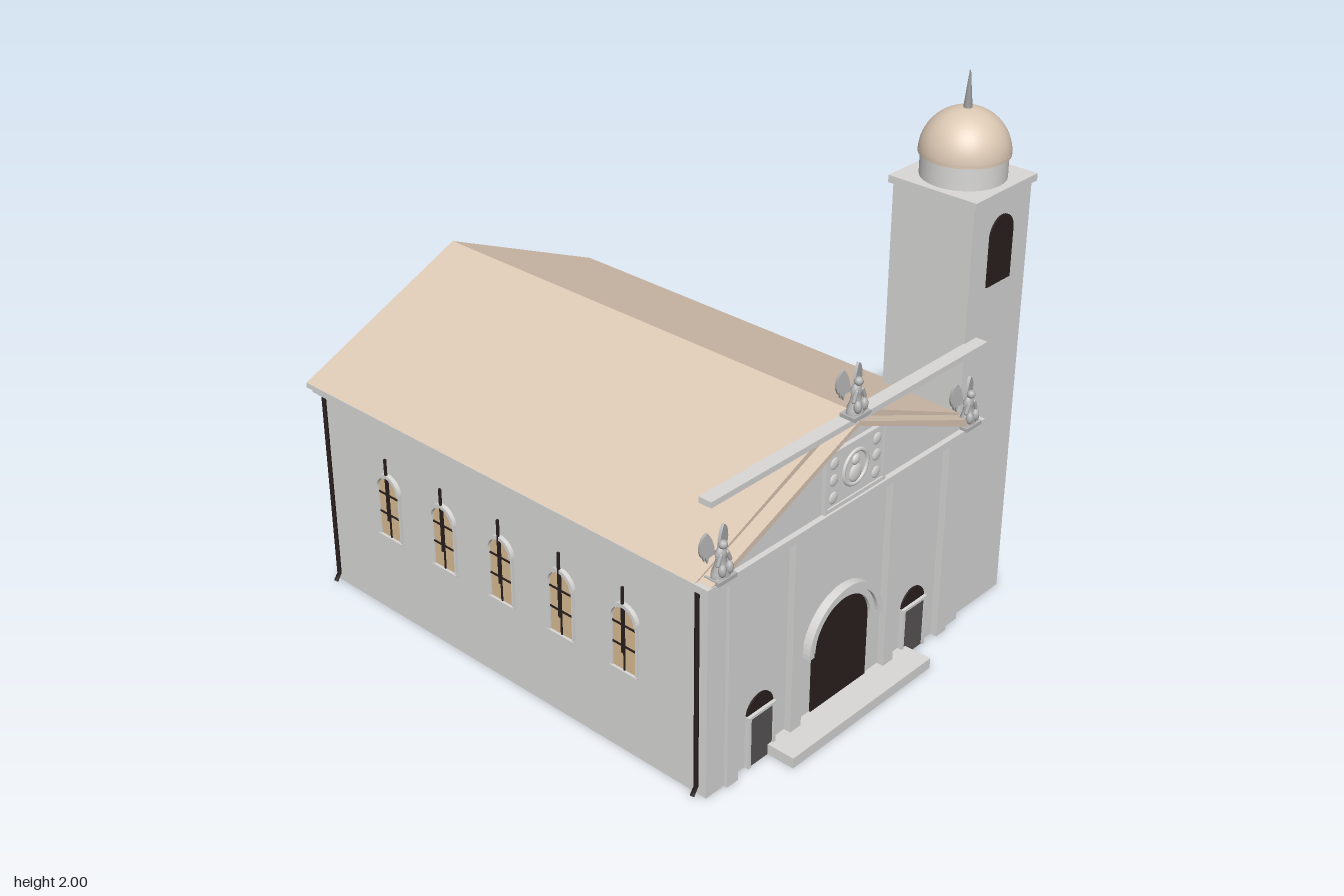
import * as THREE from 'three';

const mat = (name, color) => Object.assign(new THREE.MeshStandardMaterial({ color }), { name });
const M = {
  wall: mat('plaster', 0xd9d8d7),
  roof: mat('sandRoof', 0xdcc8b4),
  dark: mat('darkOpening', 0x2a1f1f),
  gate: mat('gateGrey', 0x555353),
  glass: mat('amberGlass', 0xd8bc92),
  stone: mat('statueStone', 0xb4b4b4),
  metal: mat('spireMetal', 0x9a9a9a),
};
const CX = -0.13; // centre line of the nave

function add(parent, name, geo, material, x = 0, y = 0, z = 0) {
  const m = new THREE.Mesh(geo, material);
  m.name = name;
  m.position.set(x, y, z);
  parent.add(m);
  return m;
}
// Box given by its extents
function block(parent, name, material, x0, x1, y0, y1, z0, z1) {
  return add(parent, name, new THREE.BoxGeometry(x1 - x0, y1 - y0, z1 - z0), material,
    (x0 + x1) / 2, (y0 + y1) / 2, (z0 + z1) / 2);
}
const extrude = (shape, depth) =>
  new THREE.ExtrudeGeometry(shape, { depth, bevelEnabled: false, curveSegments: 16 });
const poly = pts => new THREE.Shape(pts.map(p => new THREE.Vector2(...p)));

// Round-headed opening standing on y = 0
function archShape(w, h) {
  const r = w / 2, s = new THREE.Shape();
  s.moveTo(-r, 0);
  s.lineTo(r, 0);
  s.lineTo(r, h - r);
  s.absarc(0, h - r, r, 0, Math.PI, false);
  s.closePath();
  return s;
}
// Half ring opening downwards
function halfRing(r0, r1) {
  const s = new THREE.Shape();
  s.absarc(0, 0, r1, 0, Math.PI, false);
  s.absarc(0, 0, r0, Math.PI, 0, true);
  s.closePath();
  return s;
}

// Side window facing +z, origin on the wall plane at ground level
function sideWindow() {
  const g = new THREE.Group();
  g.name = 'sideWindow';
  add(g, 'glass', extrude(archShape(0.108, 0.24), 0.004), M.glass, 0, 0.325, 0);
  add(g, 'hood', extrude(halfRing(0.05, 0.064), 0.016), M.wall, 0, 0.522, 0);
  for (const s of [-1, 1]) block(g, 'jamb', M.wall, s * 0.055 - 0.004, s * 0.055 + 0.004, 0.325, 0.522, 0, 0.01);
  block(g, 'sill', M.wall, -0.06, 0.06, 0.318, 0.327, 0, 0.014);
  for (const y of [0.42, 0.5]) block(g, 'crossBar', M.dark, -0.052, 0.052, y - 0.003, y + 0.003, 0, 0.008);
  block(g, 'centreBar', M.dark, -0.003, 0.003, 0.327, 0.565, 0, 0.008);
  block(g, 'rod', M.dark, -0.004, 0.004, 0.4, 0.65, 0.008, 0.016);
  return g;
}

// Seated winged figure, about 0.165 tall
function wingedStatue(x, y, z) {
  const g = new THREE.Group();
  g.name = 'wingedStatue';
  g.position.set(x, y, z);
  block(g, 'plinth', M.stone, -0.042, 0.042, 0, 0.014, -0.03, 0.03);
  const robe = [[0.038, 0.012], [0.036, 0.03], [0.024, 0.055], [0.02, 0.075], [0.024, 0.095], [0.012, 0.11], [0, 0.113]];
  add(g, 'robe', new THREE.LatheGeometry(robe.map(p => new THREE.Vector2(...p)), 12), M.stone).scale.z = 0.7;
  add(g, 'head', new THREE.SphereGeometry(0.015, 12, 8), M.stone, 0, 0.124, 0.008);
  for (const s of [-1, 1]) {
    const knee = add(g, 'knee', new THREE.SphereGeometry(0.014, 10, 8), M.stone, s * 0.016, 0.042, 0.02);
    knee.scale.y = 1.6;
    const arm = add(g, 'arm', new THREE.CapsuleGeometry(0.007, 0.032, 4, 8), M.stone, s * 0.021, 0.078, 0.012);
    arm.rotation.z = s * 0.4;
    // Wing rises from the shoulder, arches over and hangs with ragged feathers
    const w = new THREE.Shape();
    w.moveTo(s * 0.008, 0.085);
    w.quadraticCurveTo(s * 0.012, 0.14, s * 0.036, 0.165);
    w.quadraticCurveTo(s * 0.064, 0.15, s * 0.063, 0.105);
    for (const [px, py] of [[0.056, 0.085], [0.054, 0.097], [0.046, 0.068], [0.043, 0.084], [0.034, 0.058], [0.03, 0.078]])
      w.lineTo(s * px, py);
    w.closePath();
    add(g, 'wing', extrude(w, 0.01), M.stone, 0, 0, -0.022).rotation.y = s * 0.25;
  }
  return g;
}

// Roof shell with a triangular section
function roofShell(half, base, peak, t) {
  return poly([[-half, base], [-half + 0.06, base], [0, peak - t], [half - 0.06, base], [half, base], [0, peak]]);
}

function buildNave() {
  const g = new THREE.Group();
  g.name = 'nave';
  block(g, 'walls', M.wall, -0.8, 0.54, 0, 0.8, -0.945, 0.87);
  block(g, 'lowerCornice', M.wall, -0.825, 0.563, 0.785, 0.803, -0.97, 0.905);
  block(g, 'upperCornice', M.wall, -0.837, 0.575, 0.803, 0.822, -0.985, 0.915);
  add(g, 'mainRoof', extrude(roofShell(0.705, 0.822, 1.132, 0.026), 1.845), M.roof, CX, 0, -0.985);
  add(g, 'rearGable', extrude(poly([[-0.66, 0.82], [0.66, 0.82], [0, 1.11]]), 0.03), M.wall, CX, 0, -0.95);

  // Windows along both sides
  for (const s of [-1, 1]) for (let i = 0; i < 5; i++) {
    const w = sideWindow();
    w.rotation.y = s * Math.PI / 2;
    w.position.set(s > 0 ? 0.54 : -0.8, 0, 0.535 - i * 0.2855);
    g.add(w);
  }
  // Rear door
  add(g, 'rearDoor', extrude(archShape(0.28, 0.43), 0.006), M.dark, CX, 0, -0.945).rotation.y = Math.PI;

  // Drain pipes with a kicked-out foot
  for (const [x, z, s] of [[-0.8, -0.925, -1], [-0.8, 0.85, -1], [0.54, -0.925, 1]]) {
    const path = new THREE.CurvePath();
    const p = [[0.012, 0.79], [0.012, 0.035], [0.03, 0.01]].map(q => new THREE.Vector3(x + s * q[0], q[1], z));
    path.add(new THREE.LineCurve3(p[0], p[1]));
    path.add(new THREE.LineCurve3(p[1], p[2]));
    add(g, 'drainPipe', new THREE.TubeGeometry(path, 24, 0.008, 8), M.dark);
  }
  return g;
}

function buildFacade() {
  const g = new THREE.Group();
  g.name = 'facade';
  g.position.x = CX;
  // Pediment and its covering
  add(g, 'pediment', extrude(poly([[-0.665, 0.82], [0.665, 0.82], [0, 1.095]]), 0.045), M.wall, 0, 0, 0.85);
  add(g, 'pedimentRoof', extrude(roofShell(0.69, 0.822, 1.105, 0.018), 0.06), M.roof, 0, 0, 0.852);
  block(g, 'ridgeBeam', M.wall, -0.69, 0.69, 1.1, 1.121, 0.86, 0.91);

  // Carved panel with a low relief
  block(g, 'reliefPanel', M.wall, -0.155, 0.155, 0.827, 1.04, 0.89, 0.905);
  for (const s of [-1, 1]) {
    block(g, 'reliefBorder', M.wall, s * 0.148 - 0.007, s * 0.148 + 0.007, 0.827, 1.04, 0.9, 0.911);
    const y = 0.9335 + s * 0.1;
    block(g, 'reliefBorder', M.wall, -0.155, 0.155, y - 0.007, y + 0.007, 0.9, 0.911);
    for (const y2 of [0.87, 0.935, 0.995])
      add(g, 'reliefScroll', new THREE.SphereGeometry(0.022, 12, 8), M.wall, s * 0.108, y2, 0.904).scale.z = 0.3;
  }
  add(g, 'reliefWreath', new THREE.TorusGeometry(0.06, 0.008, 8, 28), M.wall, 0, 0.938, 0.904);
  add(g, 'reliefHead', new THREE.SphereGeometry(0.02, 12, 8), M.wall, 0, 0.965, 0.904).scale.z = 0.5;
  add(g, 'reliefBody', new THREE.SphereGeometry(0.033, 12, 8), M.wall, 0, 0.915, 0.904).scale.z = 0.3;

  // Mirrored pilasters and side gates
  for (const s of [-1, 1]) {
    const strip = (name, a, b, z) => block(g, name, M.wall, Math.min(s * a, s * b), Math.max(s * a, s * b), 0, 0.79, 0.86, z);
    strip('cornerPier', 0.586, 0.67, 0.883);
    strip('outerPilaster', 0.533, 0.586, 0.897);
    strip('innerPilaster', 0.221, 0.274, 0.897);
    const x = s * 0.405;
    add(g, 'gateArch', extrude(archShape(0.13, 0.262), 0.006), M.dark, x, 0, 0.87);
    block(g, 'gate', M.gate, x - 0.055, x + 0.055, 0, 0.195, 0.874, 0.882);
    for (const t of [-1, 1]) block(g, 'gateJamb', M.wall, x + t * 0.061 - 0.006, x + t * 0.061 + 0.006, 0, 0.2, 0.87, 0.888);
    block(g, 'gateLintel', M.wall, x - 0.067, x + 0.067, 0.193, 0.203, 0.87, 0.888);
  }

  // Main door with a stepped arch
  add(g, 'mainDoor', extrude(archShape(0.29, 0.43), 0.006), M.dark, 0, 0, 0.87);
  add(g, 'innerArch', extrude(halfRing(0.145, 0.17), 0.018), M.wall, 0, 0.285, 0.87);
  add(g, 'outerArch', extrude(halfRing(0.168, 0.193), 0.032), M.wall, 0, 0.285, 0.87);
  block(g, 'frontStep', M.wall, -0.37, 0.367, 0, 0.04, 0.86, 0.99);

  g.add(wingedStatue(-0.627, 0.82, 0.895), wingedStatue(0.627, 0.82, 0.895), wingedStatue(0, 1.12, 0.895));
  return g;
}

function buildTower() {
  const g = new THREE.Group();
  g.name = 'bellTower';
  g.position.set(0.657, 0, 0.7);
  block(g, 'shaft', M.wall, -0.162, 0.162, 0, 1.612, -0.164, 0.164);
  block(g, 'capSlab', M.wall, -0.174, 0.174, 1.61, 1.636, -0.177, 0.177);
  for (const s of [-1, 1])
    add(g, 'belfryOpening', extrude(archShape(0.132, 0.245), 0.006), M.dark, 0, 1.295, s * 0.164).rotation.y = s > 0 ? 0 : Math.PI;
  add(g, 'drum', new THREE.CylinderGeometry(0.147, 0.147, 0.09, 40), M.wall, 0, 1.68, 0);
  add(g, 'domeBase', new THREE.CylinderGeometry(0.155, 0.155, 0.012, 40), M.roof, 0, 1.722, 0);
  add(g, 'dome', new THREE.SphereGeometry(0.155, 40, 16, 0, Math.PI * 2, 0, Math.PI / 2), M.roof, 0, 1.718, 0);
  add(g, 'spire', new THREE.CylinderGeometry(0.002, 0.016, 0.135, 16), M.metal, 0, 1.9325, 0);
  return g;
}

export function createModel() {
  const model = new THREE.Group();
  model.name = 'church';
  model.add(buildNave(), buildFacade(), buildTower());
  return model;
}
